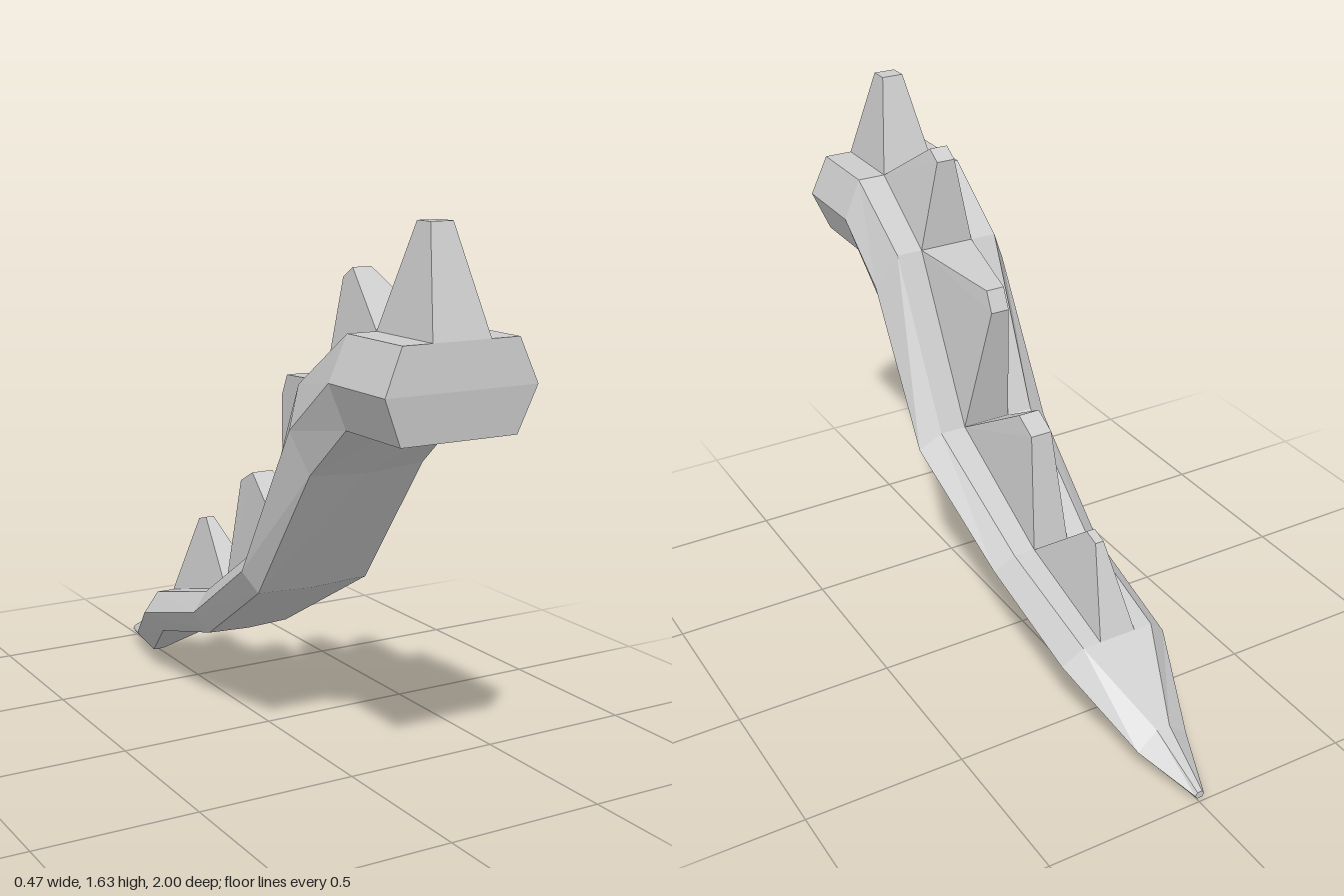
import * as THREE from 'three';

// Flat-faced skin through matching rings of [x, y, z] points.
function loft(rings, startCap, endCap) {
  const pos = [];
  const tri = (a, b, c) => pos.push(...a, ...b, ...c);
  const n = rings[0].length;
  for (let i = 0; i < rings.length - 1; i++) {
    for (let j = 0; j < n; j++) {
      const k = (j + 1) % n;
      const a = rings[i][j], b = rings[i][k], c = rings[i + 1][k], d = rings[i + 1][j];
      tri(a, b, c);
      tri(a, c, d);
    }
  }
  const first = rings[0], last = rings[rings.length - 1];
  startCap.forEach(([a, b, c]) => tri(first[a], first[b], first[c]));
  endCap.forEach(([a, b, c]) => tri(last[a], last[c], last[b]));
  const geo = new THREE.BufferGeometry();
  geo.setAttribute('position', new THREE.Float32BufferAttribute(pos, 3));
  geo.computeVertexNormals();
  return geo;
}

export function createModel() {
  const group = new THREE.Group();
  const grey = new THREE.MeshStandardMaterial({ color: 0xcccccc, flatShading: true });
  grey.name = 'lightGrey';

  // Tail sections: [half width, y, z] at the top edge, side ridge and bottom edge, then keel drop
  const sections = [
    [[0.18, 1.345, 0.99], [0.235, 1.22, 1.0], [0.18, 1.09, 0.99], 0],
    [[0.18, 1.345, 0.735], [0.235, 1.22, 0.735], [0.18, 1.09, 0.735], 0],
    [[0.175, 1.175, 0.48], [0.233, 1.06, 0.53], [0.185, 0.935, 0.56], 0.013],
    [[0.165, 0.65, 0.23], [0.232, 0.595, 0.255], [0.185, 0.525, 0.27], 0.008],
    [[0.13, 0.405, -0.175], [0.188, 0.35, -0.15], [0.14, 0.28, -0.135], 0.006],
    [[0.12, 0.3, -0.56], [0.18, 0.24, -0.54], [0.12, 0.172, -0.52], 0.004],
    [[0.022, 0.132, -0.81], [0.085, 0.075, -0.81], [0.022, 0.002, -0.81], 0.002],
    [[0.008, 0.037, -1.0], [0.015, 0.026, -1.0], [0.008, 0.015, -1.0], 0],
  ];
  const rings = sections.map(([t, m, b, drop]) => [
    t, m, b,
    [0, b[1] - drop, b[2]],
    ...[b, m, t].map(([x, y, z]) => [-x, y, z]),
  ]);
  const cap = [[0, 6, 5], [0, 5, 1], [1, 5, 4], [1, 4, 3], [1, 3, 2]];
  const tail = new THREE.Mesh(loft(rings, cap, cap), grey);
  tail.name = 'tailBody';
  group.add(tail);

  // Back spikes: front and back edges of the base, then of the tip, as [half width, y, z]
  const spikes = [
    [[0.09, 1.345, 0.99], [0.09, 1.345, 0.735], [0.035, 1.635, 0.89], [0.035, 1.635, 0.83]],
    [[0.09, 1.345, 0.735], [0.09, 1.175, 0.48], [0.03, 1.49, 0.52], [0.03, 1.46, 0.472]],
    [[0.09, 1.175, 0.48], [0.08, 0.65, 0.23], [0.03, 1.145, 0.165], [0.03, 1.08, 0.135]],
    [[0.08, 0.65, 0.23], [0.06, 0.405, -0.175], [0.035, 0.81, -0.04], [0.035, 0.77, -0.115]],
    [[0.06, 0.405, -0.175], [0.06, 0.3, -0.56], [0.014, 0.585, -0.4], [0.014, 0.57, -0.45]],
  ];
  const edgeLoop = (f, b) => [f, b, [-b[0], b[1], b[2]], [-f[0], f[1], f[2]]];
  const quad = [[0, 2, 1], [0, 3, 2]];
  spikes.forEach(([bf, bb, tf, tb], i) => {
    const spike = new THREE.Mesh(loft([edgeLoop(bf, bb), edgeLoop(tf, tb)], quad, quad), grey);
    spike.name = `backSpike${i + 1}`;
    group.add(spike);
  });

  return group;
}
